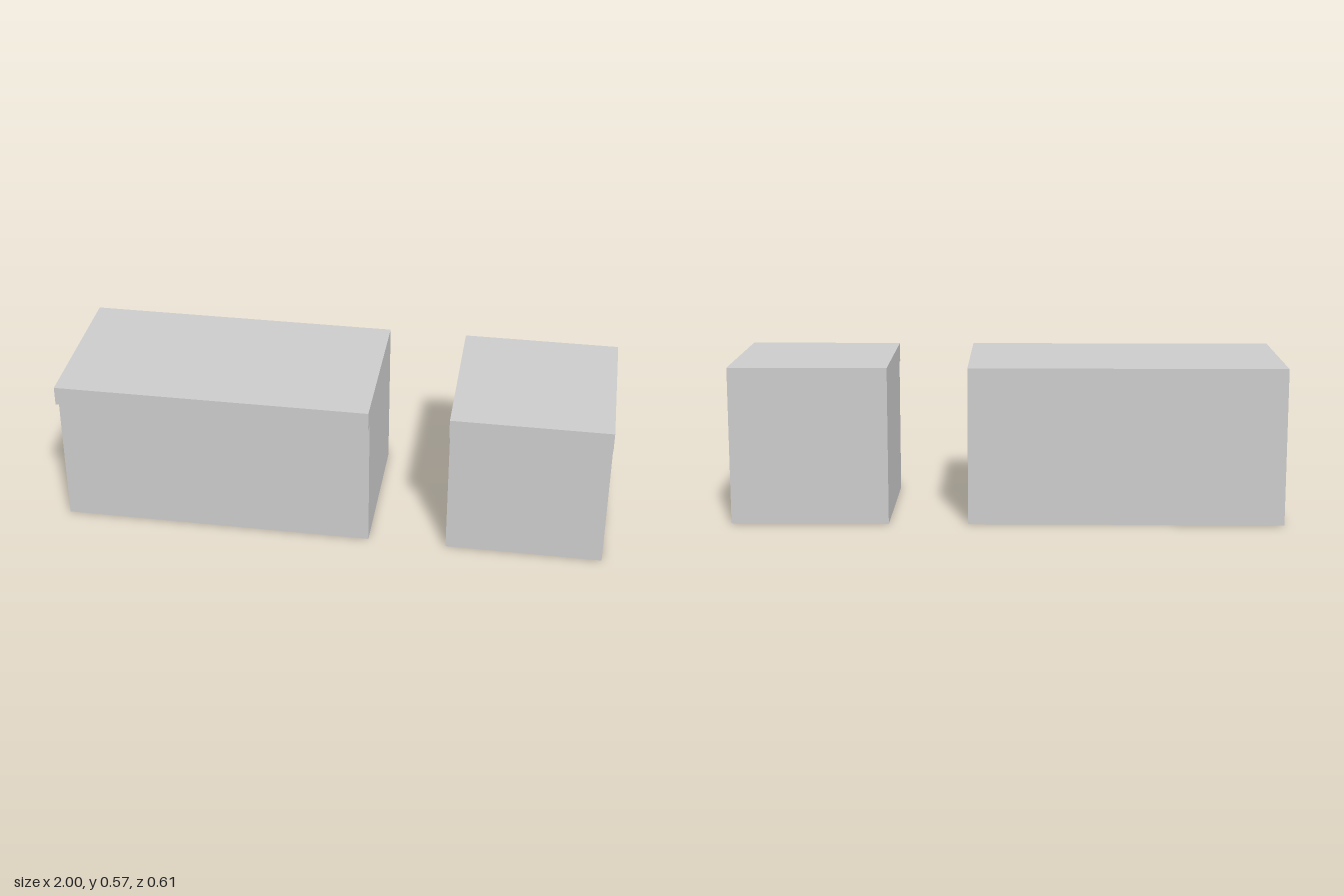
import * as THREE from 'three';

const HEIGHT = 0.571, LIP_BOTTOM = 0.501;
const BACK = -0.303, FRONT = 0.268, LIP_FRONT = 0.303;

// Counter block: a side profile with an overhanging front lip, swept along x
function counter(name, x0, x1, material) {
  const outline = [
    [BACK, 0], [FRONT, 0], [FRONT, LIP_BOTTOM],
    [LIP_FRONT, LIP_BOTTOM], [LIP_FRONT, HEIGHT], [BACK, HEIGHT],
  ];
  const shape = new THREE.Shape(outline.map(([z, y]) => new THREE.Vector2(-z, y)));
  const geometry = new THREE.ExtrudeGeometry(shape, { depth: x1 - x0, bevelEnabled: false });
  geometry.rotateY(Math.PI / 2);
  const mesh = new THREE.Mesh(geometry, material);
  mesh.name = name;
  mesh.position.x = x0;
  return mesh;
}

export function createModel() {
  const model = new THREE.Group();
  model.name = 'counters';
  const grey = new THREE.MeshStandardMaterial({ color: 0xcccccc, flatShading: true });
  model.add(
    counter('longCounter', -1, 0.142, grey),
    counter('shortCounter', 0.429, 1, grey),
  );
  return model;
}
